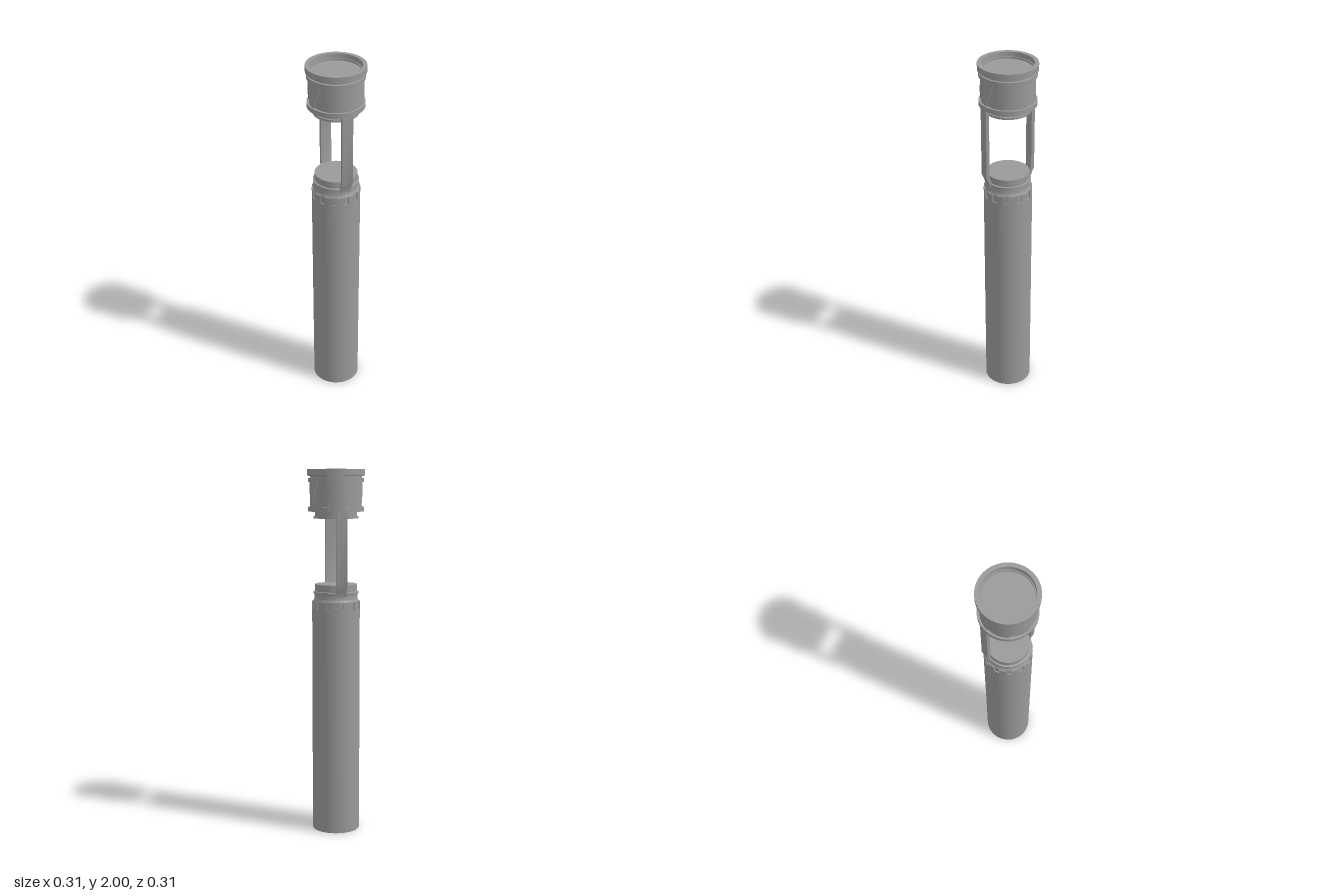
import * as THREE from 'three';
import { toCreasedNormals } from 'three/addons/utils/BufferGeometryUtils.js';

const material = new THREE.MeshStandardMaterial({ color: 0x999999 });
const SEGMENTS = 48;

function part(name, geometry) {
  const mesh = new THREE.Mesh(toCreasedNormals(geometry, 0.5), material);
  mesh.name = name;
  return mesh;
}

// Turned part; profile is [radius, y] from bottom to top
function turned(name, profile) {
  const points = profile.map(([r, y]) => new THREE.Vector2(r, y));
  return part(name, new THREE.LatheGeometry(points, SEGMENTS));
}

// Saw-tooth ring extruded upward, with its ridges twisted into slanted vanes
function vaneDrum(y0, y1, count, rMin, rMax, twist) {
  const points = [];
  const steps = 6;
  for (let i = 0; i < count; i++) {
    for (let j = 0; j <= steps; j++) {
      const t = j / steps;
      const a = ((i + t * 0.995) / count) * Math.PI * 2 + 0.22;
      const r = rMin + (rMax - rMin) * t;
      points.push(new THREE.Vector2(r * Math.sin(a), -r * Math.cos(a)));
    }
  }
  const height = y1 - y0;
  const geometry = new THREE.ExtrudeGeometry(new THREE.Shape(points), {
    depth: height, steps: 8, bevelEnabled: false,
  });
  geometry.rotateX(-Math.PI / 2);
  const position = geometry.attributes.position;
  const axis = new THREE.Vector3(0, 1, 0);
  const v = new THREE.Vector3();
  for (let i = 0; i < position.count; i++) {
    v.fromBufferAttribute(position, i);
    v.applyAxisAngle(axis, (v.y / height) * twist);
    position.setXYZ(i, v.x, v.y, v.z);
  }
  geometry.translate(0, y0, 0);
  return part('vaneDrum', geometry);
}

// Curved tooth of the handle rim, centred on +z
function rimTooth(halfAngle, rIn, rOut, y0, y1) {
  const shape = new THREE.Shape();
  const mid = -Math.PI / 2;
  shape.absarc(0, 0, rOut, mid - halfAngle, mid + halfAngle, false);
  shape.absarc(0, 0, rIn, mid + halfAngle, mid - halfAngle, true);
  const geometry = new THREE.ExtrudeGeometry(shape, {
    depth: y1 - y0, bevelEnabled: false, curveSegments: 4,
  });
  geometry.rotateX(-Math.PI / 2).translate(0, y0, 0);
  return part('rimTooth', geometry);
}

// Flat bar whose foot bends inward to the neck
function strut() {
  const width = 0.06;
  const shape = new THREE.Shape([
    [0.112, 1.32], [0.121, 1.32], [0.126, 1.345], [0.142, 1.38],
    [0.142, 1.785], [0.124, 1.785], [0.124, 1.385], [0.112, 1.35],
  ].map(([z, y]) => new THREE.Vector2(z, y)));
  const geometry = new THREE.ExtrudeGeometry(shape, { depth: width, bevelEnabled: false });
  geometry.translate(0, 0, -width / 2).rotateY(-Math.PI / 2);
  return part('strut', geometry);
}

export function createModel() {
  const model = new THREE.Group();
  model.name = 'hiltWithHead';

  // Long handle
  model.add(turned('handle', [
    [0, 0], [0.131, 0], [0.131, 1.245], [0.125, 1.245], [0.125, 1.29], [0, 1.29],
  ]));

  // Notched rim: a ring of teeth with narrow slots between them
  const rim = new THREE.Group();
  rim.name = 'notchedRim';
  for (let i = 0; i < 12; i++) {
    const tooth = rimTooth(THREE.MathUtils.degToRad(9), 0.12, 0.131, 1.243, 1.29);
    tooth.rotation.y = ((i + 0.5) * Math.PI) / 6;
    rim.add(tooth);
  }
  model.add(rim);

  // Stepped neck above the handle
  model.add(turned('neck', [
    [0, 1.28], [0.126, 1.289], [0.119, 1.302], [0.119, 1.329], [0.124, 1.332],
    [0.124, 1.342], [0.115, 1.344], [0.115, 1.382], [0, 1.382],
  ]));

  // Front and back struts
  for (const turn of [0, Math.PI]) {
    const bar = strut();
    bar.rotation.y = turn;
    model.add(bar);
  }

  // Head: lower plug and flange, vaned drum, upper rings and dished cap
  const head = new THREE.Group();
  head.name = 'head';
  head.add(turned('lowerPlug', [
    [0, 1.738], [0.122, 1.738], [0.122, 1.75], [0.113, 1.75], [0.113, 1.775],
    [0.152, 1.775], [0.152, 1.8], [0, 1.8],
  ]));
  head.add(vaneDrum(1.795, 1.94, 8, 0.137, 0.144, 0.36));
  head.add(turned('upperRings', [
    [0, 1.932], [0.151, 1.932], [0.151, 1.954], [0.141, 1.955], [0.141, 1.964],
    [0.157, 1.966], [0.157, 2], [0.135, 2], [0.133, 1.975],
    [0.128, 1.975], [0.128, 1.965], [0, 1.965],
  ]));
  model.add(head);

  return model;
}
